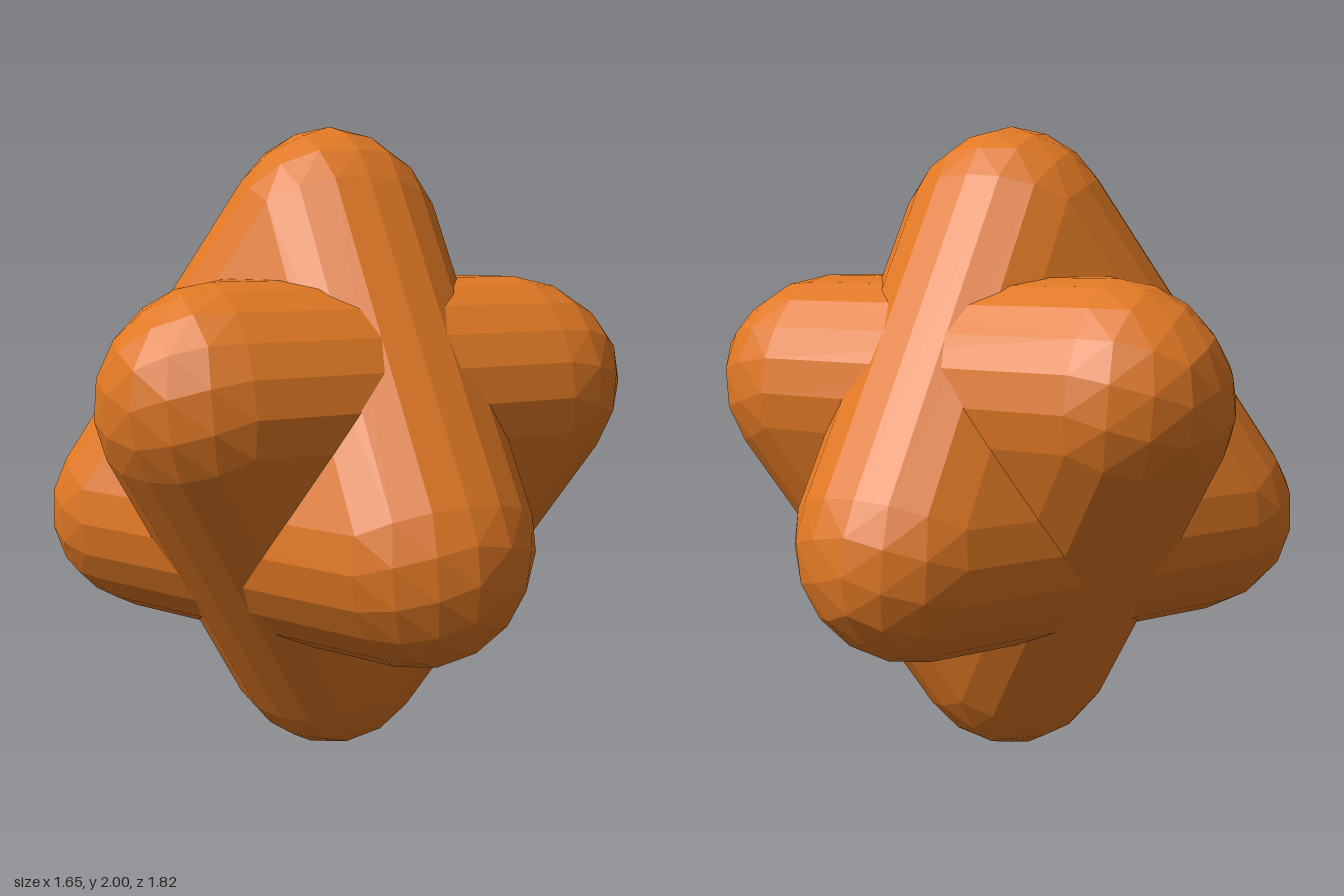
import * as THREE from 'three';
import { ConvexGeometry } from 'three/addons/geometries/ConvexGeometry.js';

const STEPS = 3; // half of the facets across each rounded edge
const R_FACE = 0.339, R_EDGE = 0.325, R_TIP = 0.34;

// Tetrahedron corners before rounding: apex and triangular base
const corners = [
  new THREE.Vector3(0, 1.66, 0),
  new THREE.Vector3(0.5, 0.794, 0.289),
  new THREE.Vector3(-0.5, 0.794, 0.289),
  new THREE.Vector3(0, 0.794, -0.577),
];

function slerp(a, b, t) {
  const w = a.angleTo(b);
  return a.clone().multiplyScalar(Math.sin((1 - t) * w) / Math.sin(w))
    .addScaledVector(b, Math.sin(t * w) / Math.sin(w)).normalize();
}

// Outward normal of the face opposite corner i
function faceNormal(i) {
  const [a, b, c] = corners.filter((_, k) => k !== i);
  const n = b.clone().sub(a).cross(c.clone().sub(a)).normalize();
  return n.dot(a.clone().sub(corners[i])) < 0 ? n.negate() : n;
}

// Tetrahedron with a rounded patch of three quad grids on every corner
function roundedTetrahedron() {
  const normals = corners.map((_, i) => faceNormal(i));
  const points = [];
  const add = (p) => {
    if (!points.some((q) => q.distanceTo(p) < 1e-6)) points.push(p);
  };
  corners.forEach((corner, i) => {
    const faces = normals.filter((_, k) => k !== i);
    const tip = faces[0].clone().add(faces[1]).add(faces[2]).normalize();
    faces.forEach((face, k) => {
      const edgeA = slerp(face, faces[(k + 1) % 3], 0.5);
      const edgeB = slerp(face, faces[(k + 2) % 3], 0.5);
      for (let u = 0; u <= STEPS; u++) {
        for (let v = 0; v <= STEPS; v++) {
          const s = u / STEPS, t = v / STEPS;
          // Average both sweep orders so the grid is symmetric
          const d1 = slerp(slerp(face, edgeA, s), slerp(edgeB, tip, s), t);
          const d2 = slerp(slerp(face, edgeB, t), slerp(edgeA, tip, t), s);
          const radius = (1 - s) * (1 - t) * R_FACE
            + (s * (1 - t) + t * (1 - s)) * R_EDGE + s * t * R_TIP;
          add(d1.add(d2).normalize().multiplyScalar(radius).add(corner));
        }
      }
    });
  });
  return new ConvexGeometry(points);
}

export function createModel() {
  const orange = new THREE.MeshStandardMaterial({ color: 0xe07824 });
  orange.name = 'orange';
  const group = new THREE.Group();
  group.name = 'roundedStar';
  const geometry = roundedTetrahedron();

  const upright = new THREE.Mesh(geometry, orange);
  upright.name = 'uprightTetrahedron';

  // Same solid turned upside down about the x axis through the middle
  const inverted = new THREE.Mesh(geometry, orange);
  inverted.name = 'invertedTetrahedron';
  inverted.rotation.x = Math.PI;
  inverted.position.y = 2;

  group.add(upright, inverted);
  return group;
}
